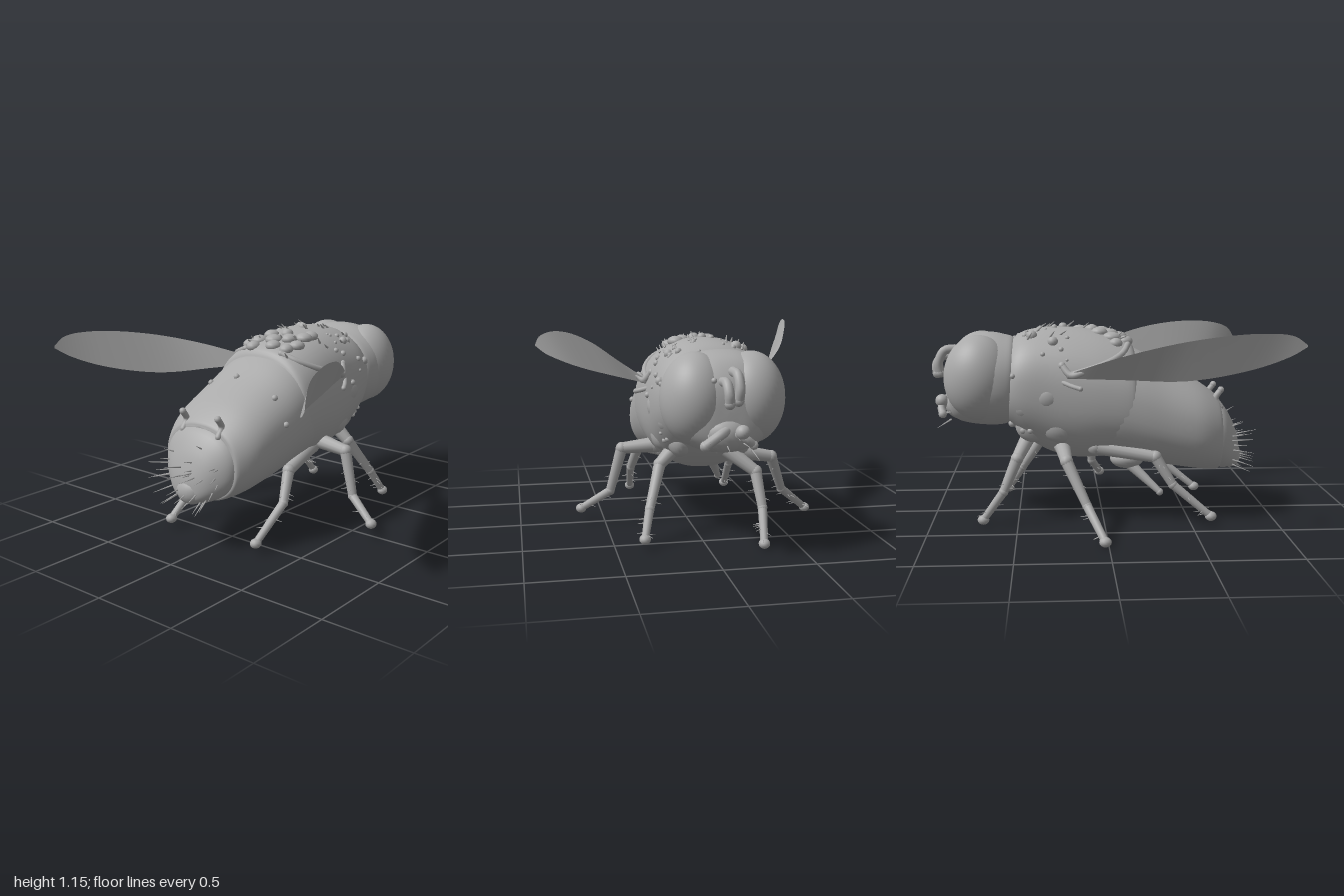
import * as THREE from 'three';

const CZ = -0.055; // body midline
const V = (p) => new THREE.Vector3(...p);

// Body sections: [x, bottom, top, half width]
const ABDOMEN = [[-0.69, 0.29, 0.69, 0.24], [-0.67, 0.27, 0.725, 0.272], [-0.55, 0.28, 0.81, 0.325], [-0.35, 0.31, 0.91, 0.342],
  [-0.18, 0.34, 1.0, 0.347], [0, 0.37, 1.06, 0.335], [0.12, 0.45, 1.0, 0.28]];
const TAIL = [[-0.825, 0.36, 0.39, 0.01], [-0.81, 0.3, 0.47, 0.09], [-0.77, 0.28, 0.58, 0.165], [-0.7, 0.28, 0.68, 0.24], [-0.6, 0.32, 0.72, 0.26]];
const THORAX = [[-0.19, 0.38, 0.98, 0.325], [-0.15, 0.365, 1.045, 0.346], [0, 0.36, 1.095, 0.35], [0.15, 0.355, 1.12, 0.345], [0.3, 0.39, 1.125, 0.335],
  [0.44, 0.47, 1.105, 0.325], [0.52, 0.54, 1.06, 0.3], [0.58, 0.6, 0.98, 0.25]];
const HEAD = [[0.5, 0.7, 0.95, 0.16], [0.51, 0.6, 1.05, 0.27], [0.57, 0.56, 1.08, 0.305], [0.68, 0.555, 1.095, 0.31], [0.8, 0.57, 1.06, 0.27],
  [0.87, 0.6, 0.98, 0.19], [0.895, 0.66, 0.9, 0.11], [0.9, 0.76, 0.8, 0.02]];

function ringPoint([x, bot, top, hw], a) {
  const sq = (v) => Math.sign(v) * Math.abs(v) ** 0.9;
  return [x, (top + bot) / 2 + sq(Math.cos(a)) * (top - bot) / 2, CZ + sq(Math.sin(a)) * hw];
}

// Smooth skin over a row of sections, closed at both ends
function loft(sections, sides = 48, steps = 5) {
  const spline = (f) => new THREE.CatmullRomCurve3(sections.map(f), false, 'catmullrom', 0.5);
  const outline = spline((s) => V([s[0], s[1], s[2]]));
  const width = spline((s) => V([s[3], 0, 0]));
  const n = (sections.length - 1) * steps, pos = [], idx = [];
  for (let i = 0; i <= n; i++) {
    const o = outline.getPoint(i / n), w = width.getPoint(i / n).x;
    for (let j = 0; j < sides; j++) pos.push(...ringPoint([o.x, o.y, o.z, w], j / sides * Math.PI * 2));
  }
  for (let i = 0; i < n; i++) for (let j = 0; j < sides; j++) {
    const a = i * sides + j, b = i * sides + (j + 1) % sides;
    idx.push(a, b, a + sides, b, b + sides, a + sides);
  }
  for (let j = 1; j < sides - 1; j++) {
    const e = n * sides;
    idx.push(0, j + 1, j, e, e + j, e + j + 1);
  }
  const g = new THREE.BufferGeometry();
  g.setAttribute('position', new THREE.Float32BufferAttribute(pos, 3));
  g.setIndex(idx);
  g.computeVertexNormals();
  return g;
}

// Thin sheet between an upper and a lower edge
function sheet(upper, lower, n = 28) {
  const cu = new THREE.CatmullRomCurve3(upper.map(V)), cl = new THREE.CatmullRomCurve3(lower.map(V));
  const pos = [], idx = [];
  for (let i = 0; i <= n; i++) {
    pos.push(...cu.getPoint(i / n).toArray(), ...cl.getPoint(i / n).toArray());
    if (i < n) idx.push(2 * i, 2 * i + 1, 2 * i + 2, 2 * i + 1, 2 * i + 3, 2 * i + 2);
  }
  const g = new THREE.BufferGeometry();
  g.setAttribute('position', new THREE.Float32BufferAttribute(pos, 3));
  g.setIndex(idx);
  g.computeVertexNormals();
  return g;
}

export function createModel() {
  const root = new THREE.Group();
  root.name = 'fly';
  const grey = new THREE.MeshStandardMaterial({ color: 0xaaaaaa, side: THREE.DoubleSide });
  grey.name = 'grey';
  let seed = 7;
  const rnd = (lo = 0, hi = 1) => {
    seed = (seed * 16807) % 2147483647;
    return lo + (hi - lo) * seed / 2147483647;
  };
  const add = (name, geo, parent = root) => {
    const m = new THREE.Mesh(geo, grey);
    m.name = name;
    parent.add(m);
    return m;
  };
  const group = (name) => {
    const g = new THREE.Group();
    g.name = name;
    root.add(g);
    return g;
  };
  const ball = (name, p, r, parent, seg = 12) => {
    const m = add(name, new THREE.SphereGeometry(1, seg * 2, seg), parent);
    m.position.set(...p);
    if (Array.isArray(r)) m.scale.set(...r); else m.scale.setScalar(r);
    return m;
  };
  const rod = (name, a, b, ra, rb, parent, seg = 12) => {
    const A = V(a), d = V(b).sub(A);
    const m = add(name, new THREE.CylinderGeometry(rb, ra, d.length(), seg), parent);
    m.position.copy(A).addScaledVector(d, 0.5);
    m.quaternion.setFromUnitVectors(new THREE.Vector3(0, 1, 0), d.normalize());
    return m;
  };
  const sausage = (name, pts, r, parent) => {
    add(name, new THREE.TubeGeometry(new THREE.CatmullRomCurve3(pts.map(V)), 12, r, 10), parent);
    ball(name + 'End', pts[0], r, parent, 6);
    ball(name + 'Tip', pts[pts.length - 1], r * 1.1, parent, 6);
  };
  // Point on the body at x and angle from the top
  const onBody = (sections, x, a) => {
    const i = Math.max(1, sections.findIndex((s) => s[0] >= x)), p = sections[i - 1], q = sections[i];
    const t = (x - p[0]) / (q[0] - p[0]);
    return ringPoint(p.map((v, k) => v + (q[k] - v) * t), a);
  };

  // Body
  add('tail', loft(TAIL));
  add('abdomen', loft(ABDOMEN));
  add('thorax', loft(THORAX));

  // Head with large side eyes
  add('head', loft(HEAD));
  for (const s of [1, -1]) ball('eye', [0.715, 0.845, CZ + s * 0.15], [0.2, 0.245, 0.183], root, 24);
  ball('muzzle', [0.83, 0.68, CZ + 0.01], [0.1, 0.1, 0.13], root);
  const face = group('face');
  sausage('antenna', [[0.87, 0.95, -0.02], [0.94, 0.95, -0.025], [0.975, 0.9, -0.03], [0.97, 0.85, -0.035]], 0.026, face);
  sausage('antenna', [[0.86, 1.0, -0.075], [0.92, 0.99, -0.085], [0.955, 0.92, -0.09], [0.945, 0.86, -0.085]], 0.026, face);
  sausage('mouthPart', [[0.88, 0.71, -0.06], [0.93, 0.69, 0.0], [0.92, 0.63, 0.08]], 0.026, face);
  sausage('mouthPart', [[0.87, 0.7, -0.05], [0.94, 0.67, -0.12], [0.93, 0.63, -0.17]], 0.022, face);
  ball('mouthKnob', [0.94, 0.7, -0.11], 0.038, face);
  for (const [y, z] of [[0.87, 0.1], [0.87, -0.18], [0.96, 0.03]]) ball('faceBump', [0.895, y, z], 0.015, face, 6);
  for (let i = 0; i < 6; i++) {
    const p = [0.88, 0.6 + rnd(0, 0.12), -0.17 + i * 0.045];
    rod('whisker', p, [p[0] + 0.08, p[1] - rnd(0, 0.05), p[2] * 1.15], 0.006, 0.001, face, 5);
  }

  // Wings lean outward: upper and lower edges from base to tip
  add('leftWing', sheet(
    [[0.2, 0.9, 0.29], [0, 0.975, 0.41], [-0.25, 1.06, 0.54], [-0.55, 1.1, 0.67], [-0.8, 1.085, 0.775], [-0.92, 1.04, 0.84], [-0.96, 0.985, 0.862]],
    [[0.2, 0.865, 0.28], [0, 0.862, 0.35], [-0.25, 0.863, 0.45], [-0.55, 0.868, 0.57], [-0.75, 0.89, 0.68], [-0.9, 0.935, 0.8], [-0.96, 0.98, 0.86]]));
  add('rightWing', sheet(
    [[0.2, 0.89, -0.39], [-0.1, 1.01, -0.6], [-0.43, 1.1, -0.735], [-0.75, 1.145, -0.835], [-0.93, 1.135, -0.865], [-1, 1.09, -0.867]],
    [[0.2, 0.86, -0.38], [-0.1, 0.865, -0.49], [-0.43, 0.875, -0.62], [-0.75, 0.95, -0.745], [-0.93, 1.03, -0.83], [-1, 1.08, -0.865]]));
  for (const s of [1, -1]) {
    const z = (v) => CZ + s * v;
    sausage('wingRoot', [[0.12, 0.9, z(0.36)], [0.19, 0.88, z(0.335)], [0.24, 0.93, z(0.3)]], 0.02);
    sausage('halter', [[0.24, 0.84, z(0.32)], [0.18, 0.82, z(0.36)], [0.14, 0.81, z(0.38)]], 0.013);
    // Side plates of the thorax
    for (const [x, y, w, r] of [[0.32, 0.75, 0.27, 0.09], [0.43, 0.7, 0.24, 0.09], [0.25, 0.58, 0.24, 0.1], [0.4, 0.57, 0.17, 0.1]])
      ball('sidePlate', [x, y, z(w)], [r * 1.1, r, 0.07], root);
  }

  // Legs: hip, knee, ankle, foot
  const LEGS = {
    frontLeftLeg: [[0.33, 0.52, 0.12], [0.35, 0.42, 0.22], [0.49, 0.2, 0.3], [0.58, 0.055, 0.34]],
    frontRightLeg: [[0.42, 0.52, -0.13], [0.5, 0.39, -0.3], [0.58, 0.2, -0.32], [0.7, 0.03, -0.3]],
    middleLeftLeg: [[0.08, 0.48, 0.2], [0.06, 0.46, 0.4], [0.04, 0.2, 0.47], [-0.02, 0.085, 0.64]],
    middleRightLeg: [[0.24, 0.45, -0.25], [0.22, 0.41, -0.47], [0.11, 0.18, -0.57], [0.02, 0.03, -0.75]],
    hindLeftLeg: [[0.05, 0.45, 0.16], [-0.29, 0.4, 0.25], [-0.39, 0.24, 0.29], [-0.61, 0.065, 0.27]],
    hindRightLeg: [[0.05, 0.45, -0.27], [-0.29, 0.4, -0.34], [-0.39, 0.24, -0.36], [-0.61, 0.055, -0.38]],
  };
  for (const [name, pts] of Object.entries(LEGS)) {
    const leg = group(name), r = [0.046, 0.034, 0.026, 0.021];
    for (let i = 0; i < 3; i++) {
      rod('legSegment', pts[i], pts[i + 1], r[i], r[i + 1], leg);
      ball('joint', pts[i], r[i] * 1.08, leg, 8);
    }
    ball('foot', pts[3], [0.034, 0.028, 0.032], leg, 8);
    for (let i = 0; i < 12; i++) {
      const p = V(pts[i < 5 ? 1 : 2]).lerp(V(pts[i < 5 ? 2 : 3]), rnd(0.2, 0.9)), a = rnd(0, 6.28);
      rod('legBristle', p.toArray(), [p.x + Math.cos(a) * 0.06, p.y - 0.01, p.z + Math.sin(a) * 0.06], 0.005, 0.001, leg, 5);
    }
  }
  // Short stub below the belly
  ball('bellyBulge', [-0.14, 0.36, -0.18], [0.1, 0.06, 0.08], root);
  rod('bellyStub', [-0.13, 0.35, -0.18], [-0.32, 0.18, -0.27], 0.036, 0.019);
  ball('bellyStubTip', [-0.325, 0.175, -0.27], 0.022, root, 8);

  // Bumps and bristles on the thorax
  const back = group('backBumps');
  for (const [x, a, r] of [[0.29, -0.65, 0.03], [0.41, -0.42, 0.032], [0.23, 0.02, 0.026], [0.35, 0.7, 0.026], [0.43, 0.55, 0.02], [0.48, 1.2, 0.024]])
    ball('largeBump', onBody(THORAX, x, a), r, back, 8);
  for (let i = 0; i < 26; i++) ball('bump', onBody(THORAX, rnd(0.2, 0.53), rnd(-1.4, 1.5)), rnd(0.008, 0.018), back, 6);
  for (let i = 0; i < 9; i++) ball('lowerBump', onBody(THORAX, rnd(0.4, 0.54), rnd(2.1, 4.1)), rnd(0.012, 0.024), back, 6);
  // Dense lumps on the rear of the back: [x, angle, radius]
  for (const [x, a, r] of [[-0.13, -0.2, 0.04], [-0.1, 0.1, 0.045], [-0.05, -0.25, 0.05], [-0.04, 0.0, 0.05], [0.0, 0.2, 0.045], [0.02, -0.15, 0.045],
    [0.08, 0.35, 0.05], [0.13, 0.38, 0.045], [-0.02, 0.42, 0.045], [-0.09, 0.35, 0.04], [0.06, 0.05, 0.035], [-0.07, -0.45, 0.035]])
    ball('lump', onBody(THORAX, x, a), [r * 1.1, 0.032, r], back, 8);
  for (let i = 0; i < 22; i++) {
    const p = onBody(THORAX, rnd(-0.15, 0.5), rnd(-0.8, 0.8));
    rod('backBristle', p, [p[0] - rnd(0.02, 0.05), p[1] + rnd(0.02, 0.04), p[2] * 1.08], 0.008, 0.002, back, 6);
  }
  for (const s of [1, -1])
    sausage('backRidge', [[-0.14, 0.35], [-0.1, 0.7], [0, 1.0], [0.2, 1.25]].map(([x, a]) => onBody(THORAX, x, s * a)), 0.018, back);

  // Abdomen bumps and tail bristles
  const rear = group('rearDetails');
  for (const [x, a] of [[-0.37, -0.6], [-0.35, -0.05], [-0.35, 1.35], [-0.35, 0.8], [0.0, 1.1]]) ball('bump', onBody(ABDOMEN, x, a), 0.018, rear, 6);
  for (const a of [0.55, -0.5]) {
    const p = onBody(TAIL, -0.69, a);
    sausage('rearHook', [p, [p[0] + 0.03, p[1] + 0.05, p[2]], [p[0], p[1] + 0.1, p[2]]], 0.018, rear);
  }
  ball('tailKnob', [-0.77, 0.35, CZ], [0.07, 0.08, 0.09], rear);
  for (let i = 0; i < 32; i++) {
    const p = onBody(TAIL, rnd(-0.822, -0.75), rnd(0, 6.28)), k = rnd(0.06, 0.13);
    const d = V([-0.9, (p[1] - 0.42) * 3, (p[2] - CZ) * 3]).normalize();
    rod('tailBristle', p, [Math.max(-0.93, p[0] + d.x * k), p[1] + d.y * k, p[2] + d.z * k], 0.005, 0.001, rear, 5);
  }
  return root;
}
